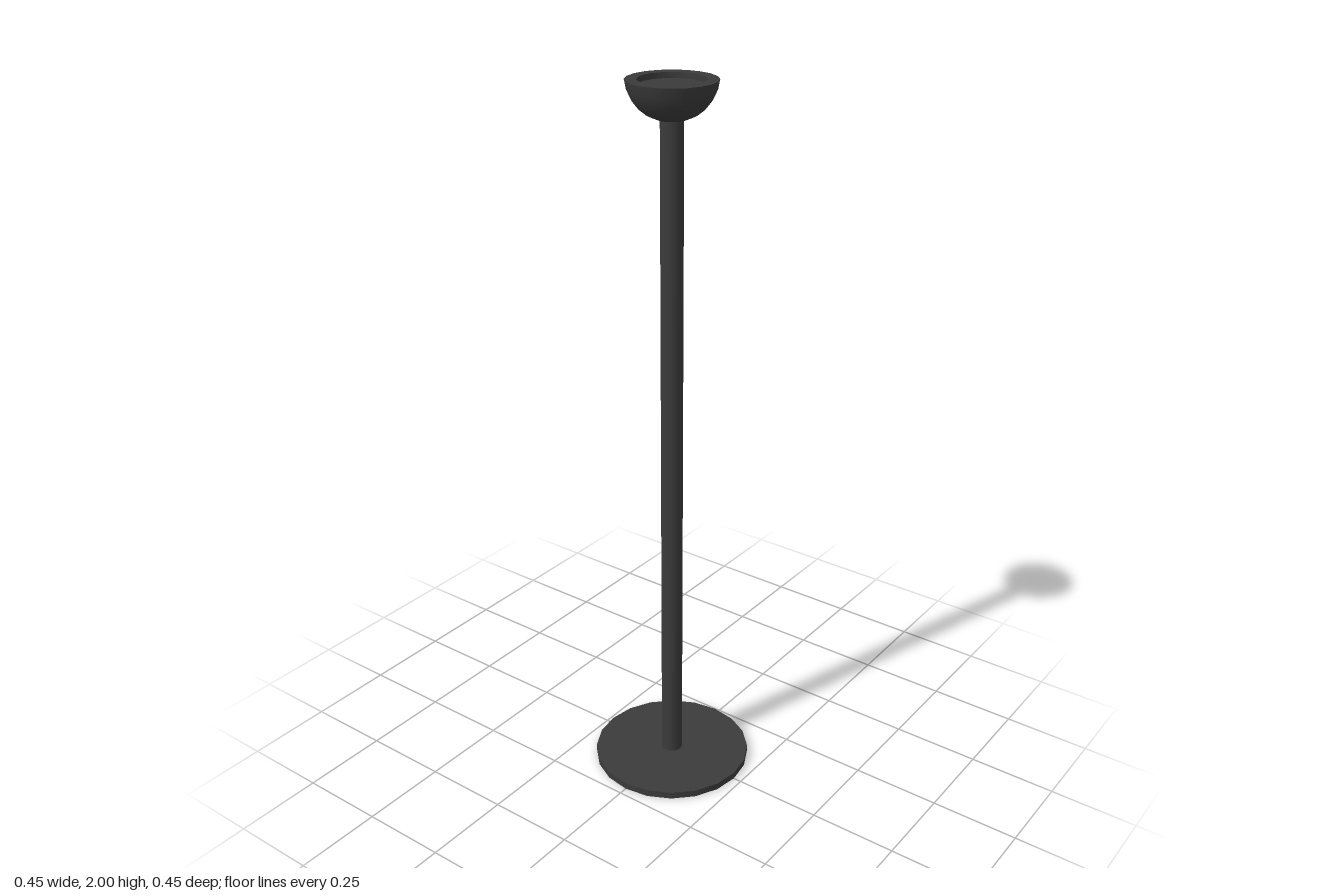
import * as THREE from 'three';
import { toCreasedNormals } from 'three/addons/utils/BufferGeometryUtils.js';

const SIDES = 20;

export function createModel() {
  const group = new THREE.Group();
  const darkGrey = new THREE.MeshStandardMaterial({ color: 0x3b3b3b });
  darkGrey.name = 'darkGrey';

  const add = (name, geometry, y) => {
    const mesh = new THREE.Mesh(geometry, darkGrey);
    mesh.name = name;
    mesh.position.y = y;
    group.add(mesh);
  };

  // Flat round foot and slender pole
  add('base', new THREE.CylinderGeometry(0.226, 0.226, 0.02, SIDES), 0.01);
  add('pole', new THREE.CylinderGeometry(0.03, 0.03, 1.9, SIDES), 0.96);

  // Rounded cup: outer curve from below, flat rim, shallow recess
  const profile = [
    [0, 0], [0.04, 0], [0.065, 0.011], [0.085, 0.027], [0.101, 0.047],
    [0.112, 0.071], [0.117, 0.096], [0.087, 0.096], [0.087, 0.081], [0, 0.081],
  ].map(([r, y]) => new THREE.Vector2(r, y));
  const cup = toCreasedNormals(new THREE.LatheGeometry(profile, SIDES), 0.6);
  add('cup', cup, 1.904);

  return group;
}
